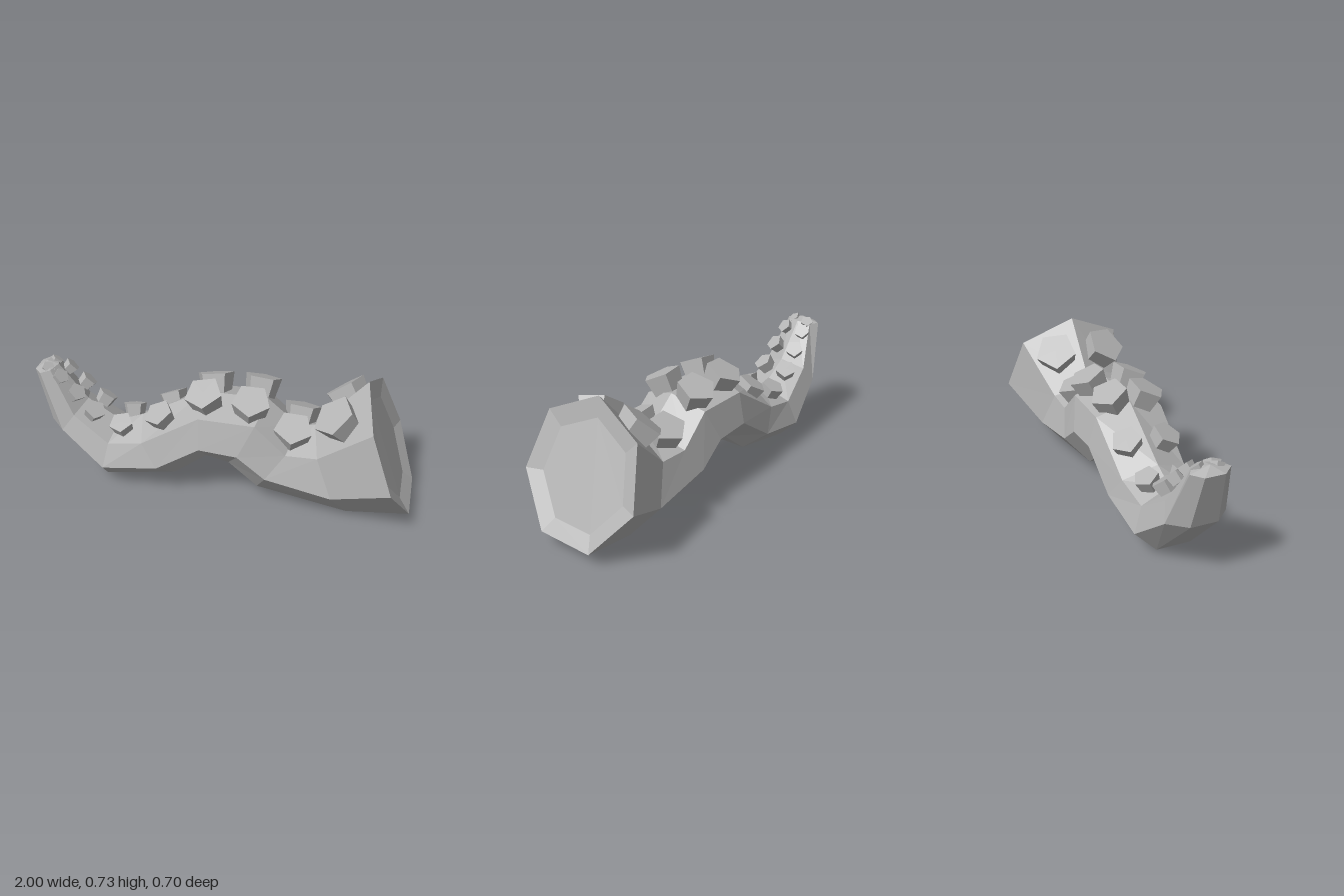
import * as THREE from 'three';

// Cross-sections from the wide root to the tip:
// [x, y] of the ridge, shoulder, side and belly, then the half widths of the last three
const SECTIONS = [
  [[0.73, 0.725], [0.785, 0.597], [0.90, 0.308], [1.0, 0.075], [0.28, 0.35, 0.155]],
  [[0.48, 0.44], [0.52, 0.36], [0.605, 0.165], [0.68, 0.0], [0.19, 0.245, 0.11]],
  [[0.40, 0.42], [0.36, 0.355], [0.265, 0.22], [0.205, 0.08], [0.19, 0.23, 0.105]],
  [[0.235, 0.56], [0.20, 0.50], [0.12, 0.33], [0.05, 0.205], [0.185, 0.225, 0.10]],
  [[-0.10, 0.56], [-0.09, 0.50], [-0.08, 0.34], [-0.07, 0.23], [0.18, 0.22, 0.10]],
  [[-0.44, 0.37], [-0.40, 0.30], [-0.315, 0.18], [-0.245, 0.09], [0.17, 0.21, 0.095]],
  [[-0.57, 0.32], [-0.59, 0.26], [-0.615, 0.13], [-0.63, 0.02], [0.155, 0.20, 0.09]],
  [[-0.74, 0.43], [-0.78, 0.39], [-0.84, 0.31], [-0.925, 0.318], [0.125, 0.155, 0.07]],
  [[-0.89, 0.62], [-0.91, 0.615], [-0.955, 0.61], [-1.0, 0.605], [0.07, 0.10, 0.05]],
];

// Suckers: x, y, z of the outer face centre, radius, lean along x
const SUCKERS = [
  [0.58, 0.60, 0.15, 0.115, -0.75],
  [0.385, 0.48, 0.115, 0.10, 0.1],
  [0.17, 0.615, 0.125, 0.10, 0.1],
  [-0.08, 0.615, 0.105, 0.10, -0.15],
  [-0.32, 0.465, 0.11, 0.08, -0.4],
  [-0.53, 0.37, 0.10, 0.065, -0.1],
  [-0.67, 0.42, 0.085, 0.057, 0.6],
  [-0.765, 0.51, 0.075, 0.05, 0.9],
  [-0.85, 0.59, 0.065, 0.043, 1.0],
  [-0.925, 0.625, 0.05, 0.035, 0.6],
];

// Seven-sided ring, running from the ridge round the +z side
function ring([ridge, shoulder, side, belly, w]) {
  const p = (q, z) => new THREE.Vector3(q[0], q[1], z);
  return [
    p(ridge, 0), p(shoulder, w[0]), p(side, w[1]), p(belly, w[2]),
    p(belly, -w[2]), p(side, -w[1]), p(shoulder, -w[0]),
  ];
}

function bodyGeometry() {
  const rings = SECTIONS.map(ring);
  // Shallow recess in the root end
  const centre = new THREE.Vector3(0.875, 0.36, 0);
  const inward = new THREE.Vector3(-0.92, -0.39, 0).multiplyScalar(0.025);
  rings.unshift(rings[0].map((v) => v.clone().lerp(centre, 0.26).add(inward)));

  const positions = [];
  const tri = (...pts) => pts.forEach((v) => positions.push(v.x, v.y, v.z));
  for (let r = 0; r < rings.length - 1; r++) {
    const a = rings[r], b = rings[r + 1];
    for (let i = 0; i < 7; i++) {
      const j = (i + 1) % 7;
      tri(a[i], b[i], b[j]);
      tri(a[i], b[j], a[j]);
    }
  }
  // End caps
  const first = rings[0], last = rings[rings.length - 1];
  const tip = new THREE.Vector3(-0.95, 0.635, 0);
  for (let i = 0; i < 7; i++) {
    const j = (i + 1) % 7;
    if (i > 0 && i < 6) tri(first[0], first[i], first[j]);
    tri(tip, last[j], last[i]);
  }
  const g = new THREE.BufferGeometry();
  g.setAttribute('position', new THREE.Float32BufferAttribute(positions, 3));
  g.computeVertexNormals();
  return g;
}

export function createModel() {
  const model = new THREE.Group();
  model.name = 'tentacle';
  const grey = new THREE.MeshStandardMaterial({ color: 0xb4b4b4 });
  grey.name = 'stone grey';
  grey.flatShading = true;

  const body = new THREE.Mesh(bodyGeometry(), grey);
  body.name = 'tentacleBody';
  model.add(body);

  // Two mirrored rows of five-sided suckers, flared outward
  const up = new THREE.Vector3(0, 1, 0);
  const suckers = new THREE.Group();
  suckers.name = 'suckers';
  SUCKERS.forEach(([x, y, z, r, lean], i) => {
    for (const side of [1, -1]) {
      const h = r * 1.1;
      const geo = new THREE.CylinderGeometry(r, r * 0.8, h, 5);
      geo.rotateY(i * 1.3 + (side > 0 ? 0 : 0.6));
      geo.translate(0, -h / 2, 0);
      const sucker = new THREE.Mesh(geo, grey);
      sucker.name = side > 0 ? 'leftSucker' : 'rightSucker';
      sucker.position.set(x + (side > 0 ? 0 : 0.015), y, side * z);
      const normal = new THREE.Vector3(lean, 1, side * 0.45).normalize();
      sucker.quaternion.setFromUnitVectors(up, normal);
      suckers.add(sucker);
    }
  });
  model.add(suckers);
  return model;
}
